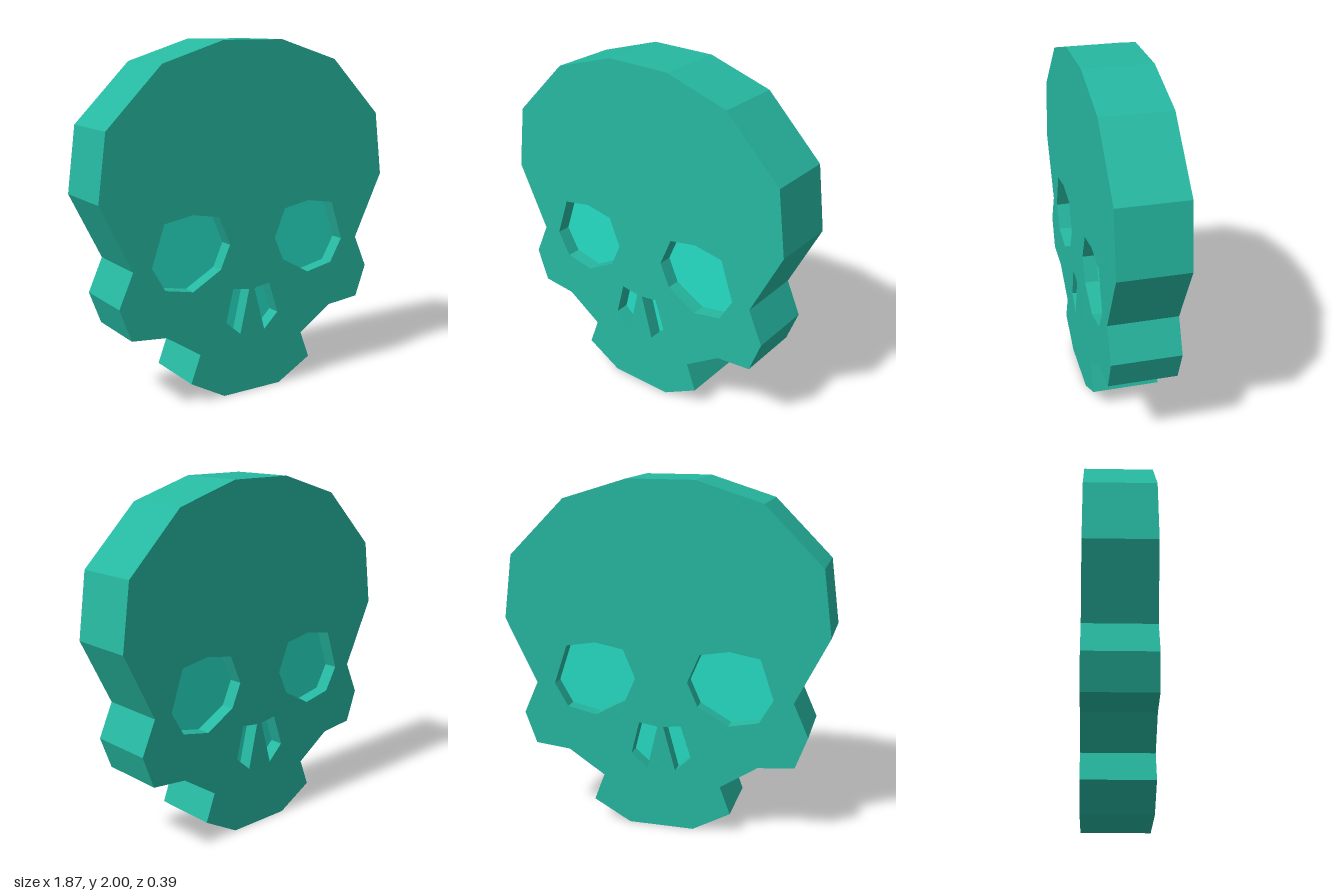
import * as THREE from 'three';
import { mergeGeometries } from 'three/addons/utils/BufferGeometryUtils.js';

const FRONT = 0.193; // half thickness of the plaque
const FLOOR = 0.113; // depth at which the sockets end

const mirror = (pts) => pts.map(([x, y]) => [-x, y]).reverse();

// Outline of one half, from the crown down to the chin
const half = [
  [0.19, 2], [0.56, 1.885], [0.885, 1.56], [0.935, 1.19], [0.75, 0.815], [0.835, 0.625],
  [0.767, 0.44], [0.56, 0.42], [0.347, 0.28], [0.407, 0.12], [0.19, 0],
];
const outline = [...half, ...mirror(half)].reverse(); // counter-clockwise

// Sockets, clockwise so that their walls face inwards
const leftEye = [
  [0.222, 1.05], [0.388, 1.08], [0.562, 1.05], [0.64, 0.82],
  [0.562, 0.685], [0.39, 0.65], [0.212, 0.75], [0.152, 0.885],
];
const sockets = {
  leftEye,
  rightEye: mirror(leftEye),
  leftNostril: [[0.013, 0.61], [0.115, 0.625], [0.175, 0.44], [0.083, 0.352]],
  rightNostril: [[-0.13, 0.625], [-0.022, 0.61], [-0.082, 0.352], [-0.177, 0.435]],
};

const toVectors = (pts) => pts.map(([x, y]) => new THREE.Vector2(x, y));

// Flat face at height z, with optional holes
function face(pts, z, holes = []) {
  const shape = new THREE.Shape(toVectors(pts));
  shape.holes = holes.map((h) => new THREE.Path(toVectors(h)));
  const geometry = new THREE.ShapeGeometry(shape).toNonIndexed();
  geometry.deleteAttribute('uv');
  return geometry.translate(0, 0, z);
}

// Band of flat quads along a closed outline
function wall(pts, z0, z1) {
  const p = [];
  pts.forEach(([ax, ay], i) => {
    const [bx, by] = pts[(i + 1) % pts.length];
    p.push(ax, ay, z0, bx, by, z0, bx, by, z1, ax, ay, z0, bx, by, z1, ax, ay, z1);
  });
  const geometry = new THREE.BufferGeometry();
  geometry.setAttribute('position', new THREE.Float32BufferAttribute(p, 3));
  geometry.computeVertexNormals();
  return geometry;
}

export function createModel() {
  const bone = new THREE.MeshStandardMaterial({ color: 0x26b8a1 });
  bone.name = 'teal';
  const glow = new THREE.MeshStandardMaterial({ color: 0x26ddc5 });
  glow.name = 'bright turquoise';

  const group = new THREE.Group();
  group.name = 'skull';
  const add = (parent, name, geometry, material) => {
    const mesh = new THREE.Mesh(geometry, material);
    mesh.name = name;
    parent.add(mesh);
  };

  // Outer rim
  add(group, 'rim', wall(outline, -FRONT, FRONT), bone);

  // The same face on both sides, the back one turned by half a turn
  ['frontSide', 'backSide'].forEach((name, i) => {
    const side = new THREE.Group();
    side.name = name;
    side.rotation.y = i * Math.PI;
    const holes = Object.values(sockets);
    const walls = holes.map((h) => wall(h, FLOOR, FRONT));
    add(side, 'face', mergeGeometries([face(outline, FRONT, holes), ...walls]), bone);
    for (const [socket, pts] of Object.entries(sockets)) {
      add(side, socket, face(pts, FLOOR), glow);
    }
    group.add(side);
  });
  return group;
}
